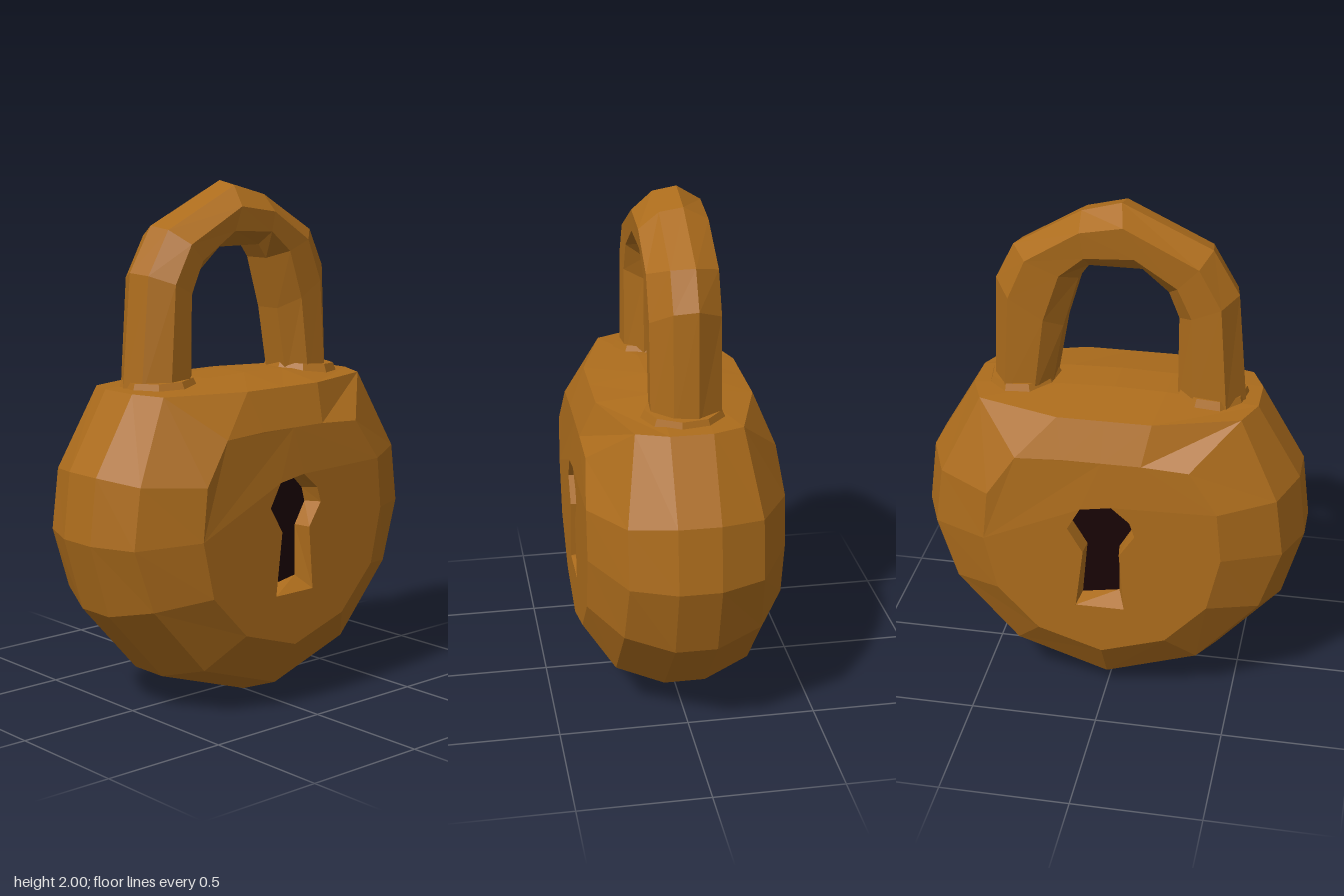
import * as THREE from 'three';

const brass = new THREE.MeshStandardMaterial({ name: 'brass', color: 0xac6c1c, flatShading: true });
const dark = new THREE.MeshStandardMaterial({ name: 'keyholeDark', color: 0x180305, flatShading: true });

// Skin a list of closed rings, each an array of [x, y, z]
function loft(rings) {
  const pos = [];
  for (let i = 0; i < rings.length - 1; i++) {
    const n = rings[i].length;
    for (let j = 0; j < n; j++) {
      const k = (j + 1) % n;
      const a = rings[i][j], b = rings[i][k], c = rings[i + 1][k], d = rings[i + 1][j];
      pos.push(...a, ...b, ...c, ...a, ...c, ...d);
    }
  }
  const g = new THREE.BufferGeometry();
  g.setAttribute('position', new THREE.Float32BufferAttribute(pos, 3));
  g.computeVertexNormals();
  return g;
}

function add(parent, name, geometry, material = brass) {
  const mesh = new THREE.Mesh(geometry, material);
  mesh.name = name;
  parent.add(mesh);
  return mesh;
}

// Half outline, bottom to top, mirrored into a full ring
const mirrorRing = half => [
  ...half,
  ...half.slice(1, -1).reverse().map(([x, y, z]) => [-x, y, z]),
];
const flipZ = ring => ring.map(([x, y, z]) => [x, y, -z]);
const toV2 = pts => pts.map(([x, y]) => new THREE.Vector2(x, y));

export function createModel() {
  const root = new THREE.Group();
  root.name = 'padlock';

  // Body sections: widest, bevel and flat face
  const girth = mirrorRing([
    [0, 0, 0.08], [0.42, 0.14, 0.08], [0.67, 0.42, 0.08], [0.75, 0.7, 0.08],
    [0.72, 0.95, 0.08], [0.55, 1.24, 0.08], [0.2, 1.265, 0.08], [0, 1.27, 0.08],
  ]);
  const bevel = mirrorRing([
    [0, 0.07, 0.26], [0.36, 0.19, 0.26], [0.6, 0.46, 0.26], [0.68, 0.7, 0.25],
    [0.65, 0.93, 0.25], [0.5, 1.237, 0.2], [0.18, 1.237, 0.3], [0, 1.237, 0.3],
  ]);
  const face = mirrorRing([
    [0, 0.25, 0.375], [0.25, 0.33, 0.375], [0.41, 0.5, 0.375], [0.46, 0.72, 0.375],
    [0.44, 0.92, 0.375], [0.33, 1.08, 0.36], [0.15, 1.09, 0.36], [0, 1.09, 0.36],
  ]);
  add(root, 'body', loft([flipZ(face), flipZ(bevel), flipZ(girth), girth, bevel, face]));

  // Face plate and shallow keyhole recess, on the front and the back
  const key = [
    [-0.1, 0.455], [0.09, 0.455], [0.07, 0.7], [0.13, 0.79], [0.11, 0.85],
    [0.04, 0.91], [-0.08, 0.89], [-0.13, 0.8], [-0.07, 0.7],
  ];
  const keyFloor = [
    [-0.085, 0.475], [0.06, 0.5], [0.06, 0.7], [0.11, 0.785], [0.095, 0.84],
    [0.035, 0.9], [-0.08, 0.885], [-0.125, 0.8], [-0.065, 0.7],
  ];
  const plateShape = new THREE.Shape(toV2(face));
  plateShape.holes.push(new THREE.Path(toV2(key)));
  const plate = new THREE.ShapeGeometry(plateShape);
  const p = plate.attributes.position;
  for (let i = 0; i < p.count; i++) p.setZ(i, p.getY(i) > 1 ? 0.36 : 0.375);
  const floor = new THREE.ShapeGeometry(new THREE.Shape(toV2(keyFloor))).translate(0, 0, 0.305);
  const walls = loft([
    key.map(([x, y]) => [x, y, 0.375]),
    keyFloor.map(([x, y]) => [x, y, 0.305]),
  ]);
  for (const [name, turn] of [['front', 0], ['back', Math.PI]]) {
    const side = new THREE.Group();
    side.name = name + 'Side';
    side.rotation.y = turn;
    add(side, name + 'Plate', plate);
    add(side, name + 'KeyholeWalls', walls);
    add(side, name + 'KeyholeFloor', floor, dark);
    root.add(side);
  }

  // Shackle: outer x, y and inner x, y at each bend
  const bends = [
    [-0.5, 1.22, -0.24, 1.22], [-0.46, 1.67, -0.24, 1.57], [-0.36, 1.84, -0.2, 1.67],
    [-0.02, 2, -0.1, 1.755], [0.13, 1.96, 0.1, 1.755], [0.39, 1.81, 0.14, 1.7],
    [0.46, 1.67, 0.2, 1.5], [0.475, 1.22, 0.25, 1.22],
  ];
  // Cross-section: share of the way from inner to outer edge, z
  const section = [
    [1, -0.04], [0.93, 0.05], [0.62, 0.125], [0.25, 0.12],
    [0, 0.05], [0, -0.06], [0.25, -0.125], [0.75, -0.135],
  ];
  add(root, 'shackle', loft(bends.map(([ox, oy, ix, iy]) =>
    section.map(([t, z]) => [ix + (ox - ix) * t, iy + (oy - iy) * t, z]))));

  // Flared collars where the shackle enters the body
  for (const s of [-1, 1]) {
    const collar = add(root, s > 0 ? 'leftCollar' : 'rightCollar',
      new THREE.CylinderGeometry(0.13, 0.15, 0.05, 9));
    collar.position.set(s * 0.365, 1.25, 0);
    collar.scale.z = 1.12;
    collar.rotation.z = -s * 0.06;
  }
  return root;
}
